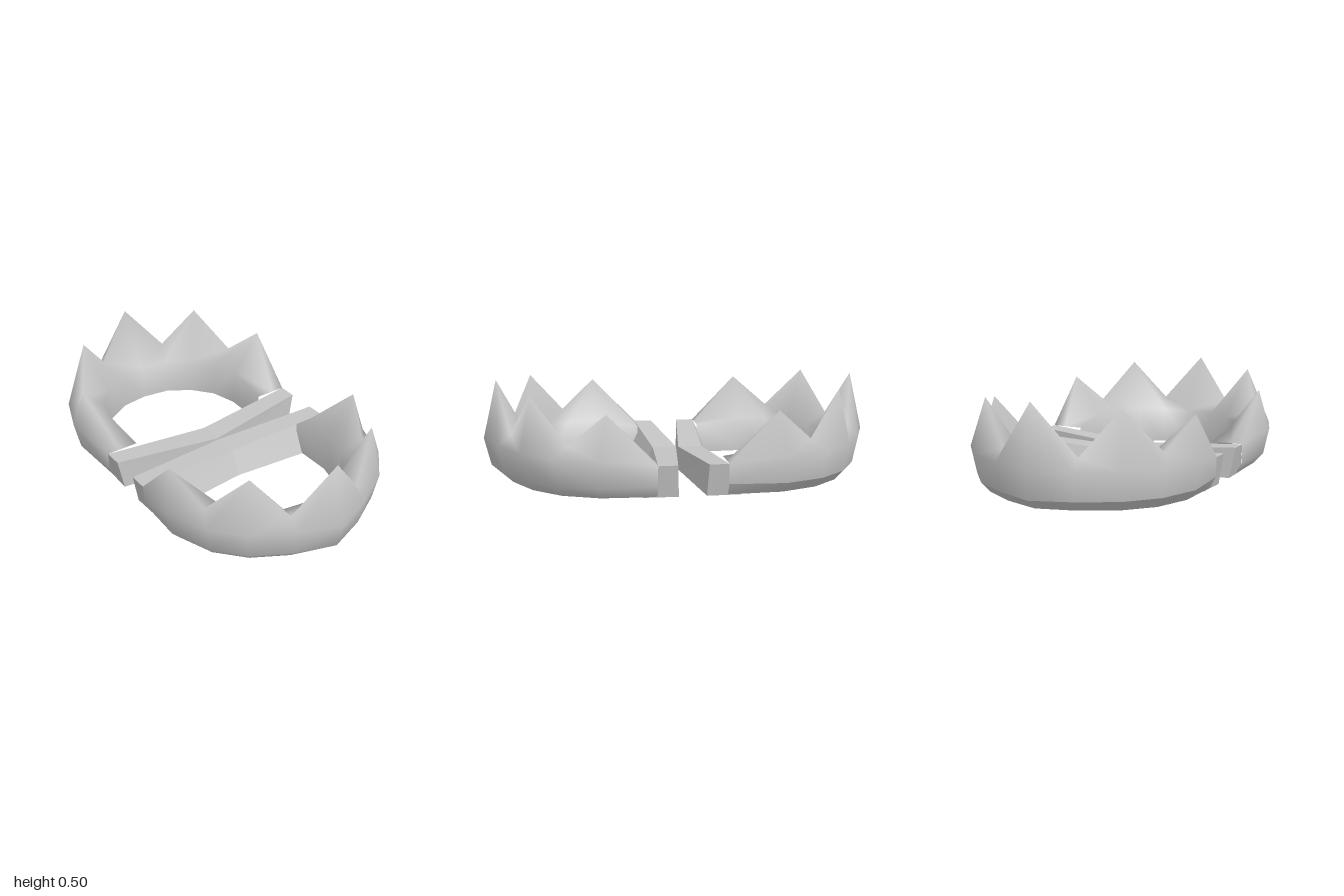
import * as THREE from 'three';

// Skin rows of points (ordered from -x to +x) with symmetric quad diagonals.
// Normals are smooth; closed skins get end caps and flat faces.
function skin(rows, closed = false) {
  const n = rows[0].length, index = [];
  const spans = closed ? n : n - 1;
  for (let i = 0; i < rows.length - 1; i++) {
    for (let j = 0; j < spans; j++) {
      const k = (j + 1) % n;
      const a = i * n + j, b = i * n + k, c = a + n, d = b + n;
      if (i < (rows.length - 1) / 2) index.push(a, b, c, b, d, c);
      else index.push(a, b, d, a, d, c);
    }
  }
  if (closed) {
    const e = (rows.length - 1) * n;
    for (let j = 1; j < n - 1; j++) index.push(0, j + 1, j, e, e + j, e + j + 1);
  }
  let geo = new THREE.BufferGeometry();
  geo.setAttribute('position', new THREE.Float32BufferAttribute(rows.flat(2), 3));
  geo.setIndex(index);
  if (closed) geo = geo.toNonIndexed();
  geo.computeVertexNormals();
  return geo;
}

// Mirror the +x stations to the -x side; the last station lies on x = 0.
function mirrored(half) {
  const flip = half.map(s => s.map(([x, y, z]) => [-x, y, z]));
  return [...flip, ...half.slice(0, -1).reverse()];
}

// Half of the toothed arc: outer wall [x, z], inner wall [x, z], crest [x, y, z].
const STATIONS = [
  { outer: [0.57, 0.17], inner: [0.4, 0.17], crest: [0.5, 0.16, 0.17] },
  { outer: [0.613, 0.455], inner: [0.4, 0.41], crest: [0.565, 0.41, 0.41] },
  { outer: [0.535, 0.66], inner: [0.36, 0.55], crest: [0.49, 0.255, 0.585] },
  { outer: [0.4, 0.81], inner: [0.27, 0.66], crest: [0.365, 0.47, 0.76] },
  { outer: [0.205, 0.92], inner: [0.145, 0.735], crest: [0.2, 0.255, 0.86] },
  { outer: [0, 1], inner: [0, 0.755], crest: [0, 0.5, 0.93] },
];

// Section: inner foot, inner shoulder, crest, outer shoulder, bevel, outer foot.
function arcSection({ outer, inner, crest }, i) {
  const at = (a, b, t, y) => [a[0] + (b[0] - a[0]) * t, y, a[1] + (b[1] - a[1]) * t];
  const end = i === 0;
  const shoulder = end ? 0.16 : 0.2;
  return [
    at(inner, inner, 0, 0.011 * inner[1]),
    at(inner, [crest[0], crest[2]], end ? 0 : 0.08, shoulder),
    crest,
    at(outer, inner, 0, shoulder),
    at(outer, inner, end ? 0.02 : 0.14, 0.06),
    at(outer, inner, end ? 0.2 : 0.37, 0.011 * outer[1]),
  ];
}

// Bent hinge bar: near bottom, near top, far top, far bottom.
const BAR = [
  [[0.54, 0, 0.068], [0.57, 0.16, 0.075], [0.57, 0.16, 0.17], [0.535, 0, 0.24]],
  [[0, 0, 0.006], [0, 0.125, 0.006], [0, 0.125, 0.13], [0, 0, 0.19]],
];

export function createModel() {
  const steel = new THREE.MeshStandardMaterial({ color: 0xc4c4c4 });
  steel.name = 'steel grey';

  const rows = mirrored(STATIONS.map(arcSection));
  const barGeo = skin(mirrored(BAR), true);
  const floorGeo = skin(rows.map(r => [r[5], r[0]]));

  const model = new THREE.Group();
  model.name = 'toothedJaws';

  function addJaw(name, turn, parts) {
    const jaw = new THREE.Group();
    jaw.name = name;
    jaw.rotation.y = turn;
    for (const [part, geo] of Object.entries(parts)) {
      const mesh = new THREE.Mesh(geo, steel);
      mesh.name = part;
      jaw.add(mesh);
    }
    model.add(jaw);
  }

  // Front jaw: the bevel blends smoothly into the wall
  addJaw('frontJaw', 0, {
    toothedWall: skin(rows),
    floor: floorGeo,
    hingeBar: barGeo,
  });
  // Back jaw: the bevel has a sharp upper edge
  addJaw('backJaw', Math.PI, {
    toothedWall: skin(rows.map(r => r.slice(0, 5))),
    bevel: skin(rows.map(r => r.slice(4))),
    floor: floorGeo,
    hingeBar: barGeo,
  });
  return model;
}
